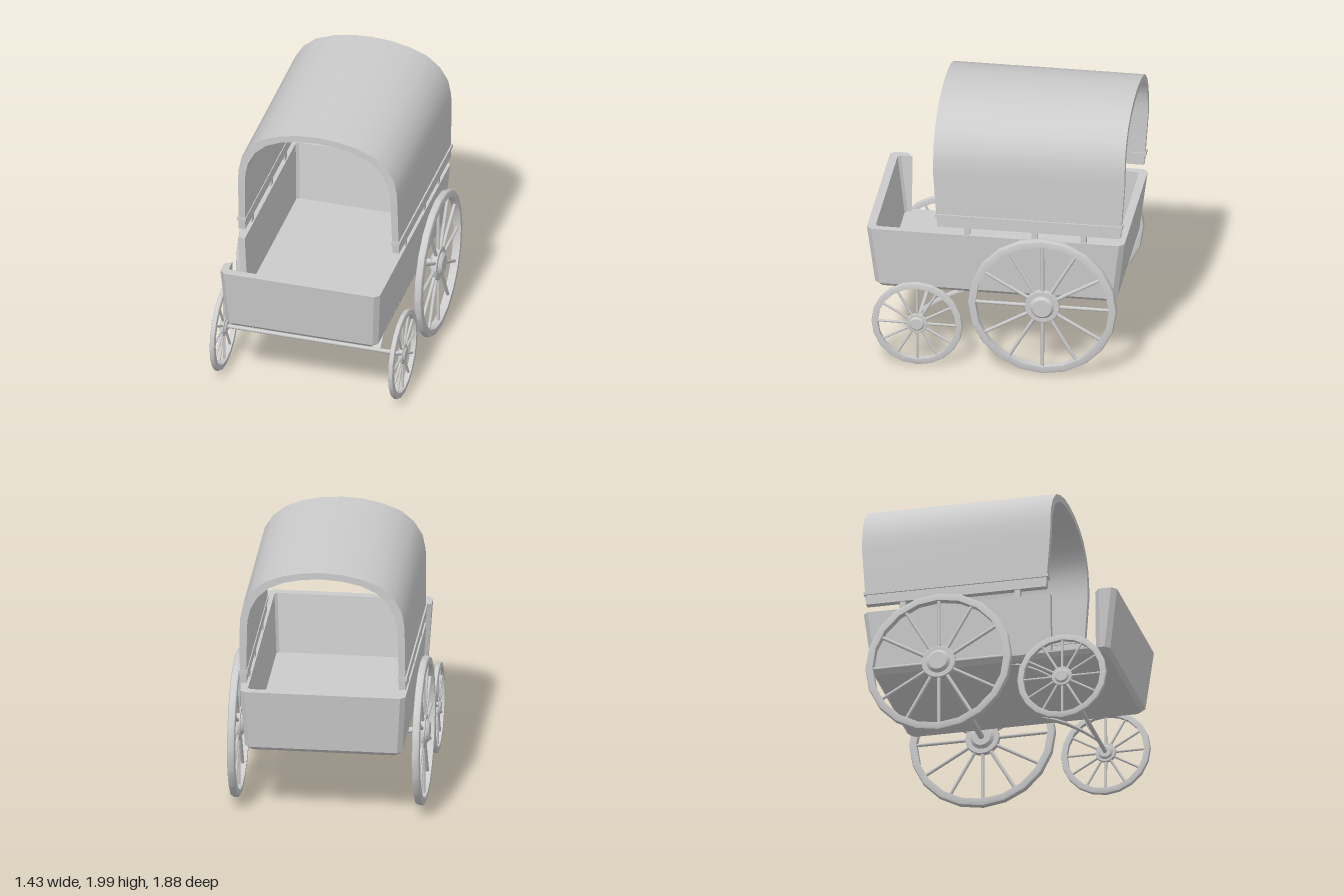
import * as THREE from 'three';
import { toCreasedNormals } from 'three/addons/utils/BufferGeometryUtils.js';

const material = new THREE.MeshStandardMaterial({ color: 0xcccccc });

function add(parent, name, geometry, x = 0, y = 0, z = 0) {
  const mesh = new THREE.Mesh(geometry, material);
  mesh.name = name;
  mesh.position.set(x, y, z);
  parent.add(mesh);
  return mesh;
}

// Skin closed cross-sections (counterclockwise about the travel direction), with end caps
function loft(sections, crease) {
  const pos = [];
  const tri = (a, b, c) => pos.push(...a, ...b, ...c);
  const n = sections[0].length;
  for (let i = 0; i < sections.length - 1; i++) {
    for (let j = 0; j < n; j++) {
      const k = (j + 1) % n;
      const [s, e] = [sections[i], sections[i + 1]];
      tri(s[j], s[k], e[k]);
      tri(s[j], e[k], e[j]);
    }
  }
  const first = sections[0], last = sections[sections.length - 1];
  for (let j = 1; j < n - 1; j++) {
    tri(first[0], first[j + 1], first[j]);
    tri(last[0], last[j], last[j + 1]);
  }
  const g = new THREE.BufferGeometry();
  g.setAttribute('position', new THREE.Float32BufferAttribute(pos, 3));
  g.computeVertexNormals();
  return toCreasedNormals(g, crease);
}

// Rectangle with clipped corners, at height y
function outline(y, hx, hz, c) {
  return [
    [-hx, y, -hz + c], [-hx + c, y, -hz], [hx - c, y, -hz], [hx, y, -hz + c],
    [hx, y, hz - c], [hx - c, y, hz], [-hx + c, y, hz], [-hx, y, hz - c],
  ];
}

// Flared wagon box with a doorway in the right wall
function buildBody() {
  const body = new THREE.Group();
  body.name = 'wagonBox';
  add(body, 'floor', loft([
    outline(0.6, 0.57, 0.88, 0.035),
    outline(0.59, 0.569, 0.879, 0.035),
    outline(0.56, 0.54, 0.85, 0.03),
  ], 0.2));

  const wallEdge = (y, hx, hz, c, doorFront) =>
    [[-hx, y, 0.45], ...outline(y, hx, hz, c), [-hx, y, doorFront]];
  const edges = [
    wallEdge(0.59, 0.569, 0.879, 0.035, 0.81),
    wallEdge(1.04, 0.597, 0.935, 0.035, 0.81),
    wallEdge(1.04, 0.545, 0.875, 0.02, 0.77),
    wallEdge(0.59, 0.525, 0.82, 0.02, 0.77),
  ];
  add(body, 'walls', loft(edges[0].map((_, i) => edges.map(e => e[i])), 0.2));
  return body;
}

// Arched cover whose ends taper inward below the arch
function buildCover() {
  const cover = new THREE.Group();
  cover.name = 'cover';
  // outer x, outer y, inner x, inner y
  const half = [
    [0.6, 1.1, 0.55, 1.1], [0.598, 1.2, 0.549, 1.2], [0.596, 1.53, 0.544, 1.53],
    [0.592, 1.62, 0.54, 1.6], [0.57, 1.73, 0.52, 1.69], [0.51, 1.83, 0.47, 1.785],
    [0.415, 1.91, 0.39, 1.86], [0.29, 1.96, 0.275, 1.912], [0.15, 1.99, 0.14, 1.94],
    [0, 2, 0, 1.95],
  ];
  const arch = [...half, ...half.slice(0, -1).reverse().map(([a, b, c, d]) => [-a, b, -c, d])];
  const reach = y => 0.665 + 0.03 * Math.min(1, (y - 1.1) / 0.43);
  const mid = -0.245;
  add(cover, 'canopy', loft(arch.map(([ox, oy, ix, iy]) => [
    [ox, oy, mid + reach(oy)], [ox, oy, mid - reach(oy)],
    [ix, iy, mid - reach(iy)], [ix, iy, mid + reach(iy)],
  ]), 0.6));

  // Rails and posts along both lower edges
  for (const side of [-1, 1]) {
    add(cover, 'rail', new THREE.BoxGeometry(0.066, 0.025, 1.36), side * 0.576, 1.187, mid);
    for (const z of [0.205, -0.285, -0.64]) {
      add(cover, 'coverPost', new THREE.BoxGeometry(0.036, 0.1, 0.042), side * 0.573, 1.06, z);
    }
  }
  return cover;
}

// Solid of revolution around the x axis
function turned(points, segments) {
  const g = new THREE.LatheGeometry(points.map(p => new THREE.Vector2(...p)), segments);
  g.rotateZ(-Math.PI / 2);
  return toCreasedNormals(g, 0.5);
}

function disc(r, h, bevel) {
  return [[0, -h], [r - bevel, -h], [r, -h + bevel], [r, h - bevel], [r - bevel, h], [0, h]];
}

function buildWheel(name, { radius, inner, h, hub, hubH, flange, spoke }) {
  const wheel = new THREE.Group();
  wheel.name = name;
  const b = h * 0.55;
  add(wheel, 'rim', turned([
    [inner, -h], [radius - b, -h], [radius - b * 0.3, -h + b * 0.3], [radius, -h + b],
    [radius, h - b], [radius - b * 0.3, h - b * 0.3], [radius - b, h], [inner, h], [inner, -h],
  ], 20));
  add(wheel, 'hubFlange', turned(disc(flange, h * 0.75, 0.004), 20));
  add(wheel, 'hub', turned(disc(hub, hubH, hub * 0.22), 20));
  const length = inner + 0.01;
  for (let i = 0; i < 12; i++) {
    const g = new THREE.CylinderGeometry(spoke * 0.9, spoke, length, 8);
    g.translate(0, length / 2, 0);
    add(wheel, 'spoke', g).rotation.x = i * Math.PI / 6;
  }
  return wheel;
}

export function createModel() {
  const model = new THREE.Group();
  model.name = 'coveredWagon';
  model.add(buildBody(), buildCover());

  // Wheels and axles
  const rear = { radius: 0.54, inner: 0.485, h: 0.028, hub: 0.087, hubH: 0.046, flange: 0.125, spoke: 0.014 };
  const front = { radius: 0.33, inner: 0.285, h: 0.018, hub: 0.055, hubH: 0.026, flange: 0.075, spoke: 0.01 };
  for (const [name, spec, y, z, axle] of [
    ['rear', rear, 0.55, -0.355, 0.022], ['front', front, 0.34, 0.555, 0.015],
  ]) {
    for (const side of [-1, 1]) {
      const wheel = buildWheel(name + 'Wheel', spec);
      wheel.position.set(side * 0.667, y, z);
      model.add(wheel);
    }
    const g = new THREE.CylinderGeometry(axle, axle, 1.32, 12).rotateZ(Math.PI / 2);
    add(model, name + 'Axle', g, 0, y, z);
  }

  // Curved straps from the box down to the front axle
  const curve = new THREE.QuadraticBezierCurve3(
    new THREE.Vector3(0, 0.565, 0.14), new THREE.Vector3(0, 0.53, 0.33), new THREE.Vector3(0, 0.345, 0.55));
  const path = curve.getPoints(8);
  for (const side of [-1, 1]) {
    const x = side * 0.467;
    add(model, 'axleStrap', loft(path.map(p => [
      [x - 0.03, p.y - 0.006, p.z], [x + 0.03, p.y - 0.006, p.z],
      [x + 0.03, p.y + 0.006, p.z], [x - 0.03, p.y + 0.006, p.z],
    ]), 0.5));
  }
  return model;
}
